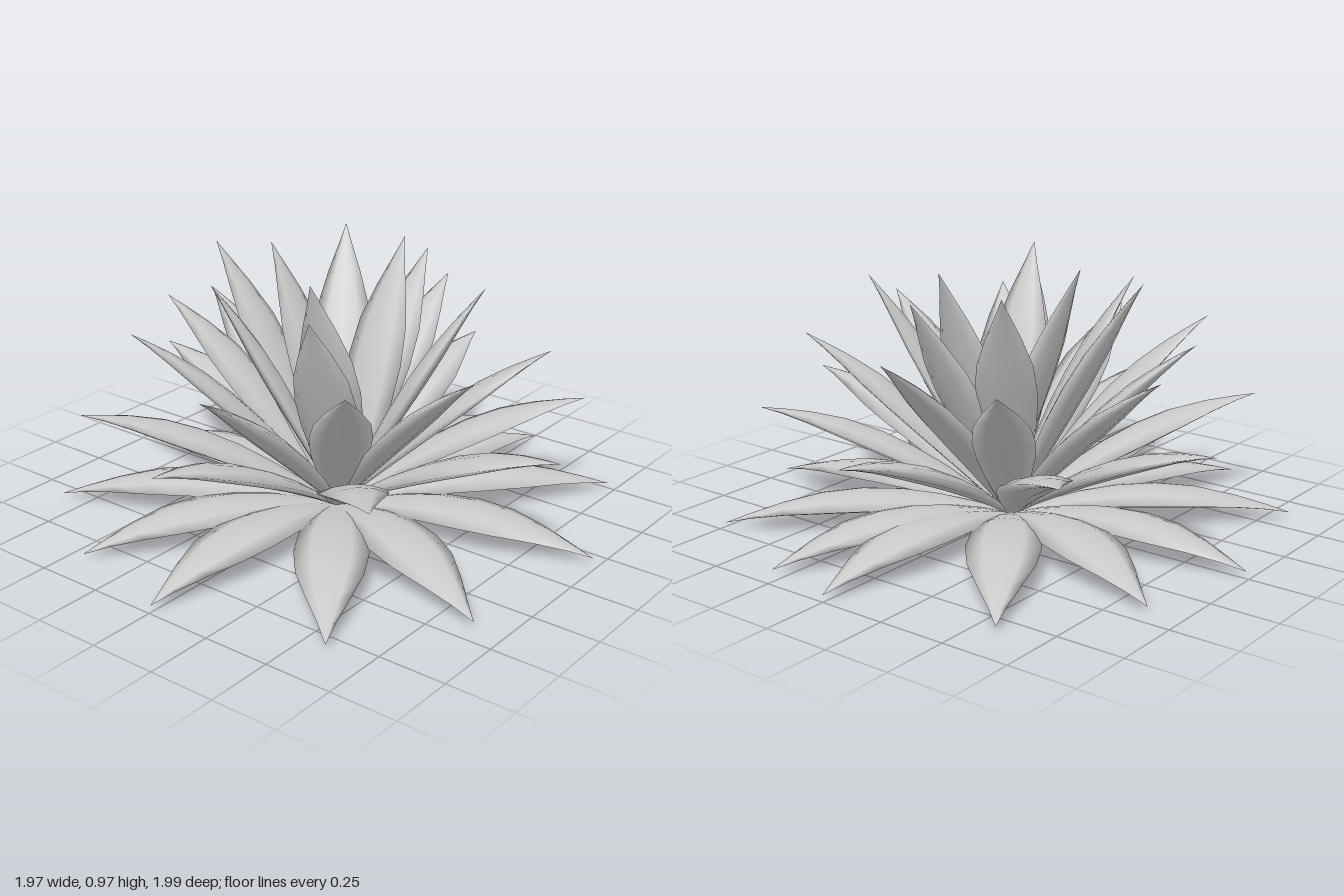
import * as THREE from 'three';

// stations along a leaf: [position, relative width]
const OUTLINE = [[0, 0.16], [0.12, 0.45], [0.25, 0.74], [0.38, 0.93], [0.52, 1], [0.66, 0.88], [0.8, 0.54], [0.91, 0.23], [1, 0.004]];
// cross-section corners: [side, up], a soft lens with a fuller underside
const SECTION = [[1, 0], [0.55, 0.02], [0, 0.028], [-0.55, 0.02], [-1, 0], [-0.55, -0.024], [0, -0.036], [0.55, -0.024]];
const SIDES = SECTION.length;

// one pointed leaf growing along +x
function leafGeometry(reach, tipY, ctrlX, ctrlY, halfWidth) {
  const spine = new THREE.QuadraticBezierCurve(
    new THREE.Vector2(0, 0.01), new THREE.Vector2(ctrlX * reach, ctrlY), new THREE.Vector2(reach, tipY));
  const pos = [], idx = [];
  for (const [t, w] of OUTLINE) {
    const p = spine.getPoint(t), d = spine.getTangent(t);
    for (const [side, up] of SECTION) {
      pos.push(p.x - d.y * up * w, Math.max(0, p.y + d.x * up * w), side * halfWidth * w);
    }
  }
  for (let i = 0; i < OUTLINE.length - 1; i++) {
    for (let j = 0; j < SIDES; j++) {
      const a = i * SIDES + j, b = i * SIDES + (j + 1) % SIDES;
      idx.push(a, a + SIDES, b, b, a + SIDES, b + SIDES);
    }
  }
  const geo = new THREE.BufferGeometry();
  geo.setAttribute('position', new THREE.Float32BufferAttribute(pos, 3));
  geo.setIndex(idx);
  geo.computeVertexNormals();
  return geo;
}

// rings of leaves from the ground up; tips are [x, z] pairs, rootX shifts where they sprout
const TIERS = [
  { name: 'groundLeaf', y: 0.03, ctrl: [0.5, 0.165], width: 0.13, rootX: 0, tips: [
    [0, -1], [0.28, -0.95], [0.73, -0.74], [0.98, -0.18], [0.89, 0.43], [0.6, 0.83],
    [0, 0.99], [-0.43, 0.88], [-0.84, 0.59], [-0.99, 0], [-0.88, -0.44], [-0.59, -0.85]] },
  { name: 'lowLeaf', y: 0.43, ctrl: [0.53, 0.36], width: 0.12, rootX: 0, tips: [
    [0.7, -0.57], [0.92, -0.02], [0.64, 0.66], [-0.07, 0.89],
    [-0.63, 0.67], [-0.9, -0.07], [-0.67, -0.63], [0, -0.91]] },
  { name: 'middleLeaf', y: 0.67, ctrl: [0.53, 0.46], width: 0.11, rootX: 0, tips: [
    [0.67, -0.36], [0.02, 0.75], [-0.73, -0.15], [-0.41, -0.61]] },
  { name: 'middleTallLeaf', y: 0.73, ctrl: [0.53, 0.5], width: 0.11, rootX: 0, tips: [
    [0.71, 0.19], [0.46, 0.55], [-0.49, 0.54], [-0.68, 0.15], [0, -0.7]] },
  { name: 'upperLeaf', y: 0.89, ctrl: [0.5, 0.55], width: 0.11, rootX: 0.02, tips: [
    [0.21, 0.42], [-0.31, 0.32], [0.47, -0.23], [0.04, -0.5]] },
  { name: 'upperTallLeaf', y: 0.94, ctrl: [0.5, 0.58], width: 0.11, rootX: 0, tips: [
    [-0.53, 0.04], [-0.29, -0.43]] },
  { name: 'heartLeaf', y: 0.97, ctrl: [0.4, 0.56], width: 0.115, rootX: 0.05, tips: [
    [0.12, 0.3], [-0.3, 0], [0.04, -0.35]] },
];

export function createModel() {
  const model = new THREE.Group();
  model.name = 'rosettePlant';
  const material = new THREE.MeshStandardMaterial({ color: 0xcccccc, side: THREE.DoubleSide });
  for (const { name, y, ctrl, width, rootX, tips } of TIERS) {
    const ring = new THREE.Group();
    ring.name = name + 'Ring';
    ring.position.x = rootX;
    tips.forEach(([x, z], i) => {
      const dx = x - rootX;
      const leaf = new THREE.Mesh(leafGeometry(Math.hypot(dx, z), y, ctrl[0], ctrl[1], width), material);
      leaf.name = name + (i + 1);
      leaf.rotation.y = Math.atan2(-z, dx);
      ring.add(leaf);
    });
    model.add(ring);
  }
  return model;
}
